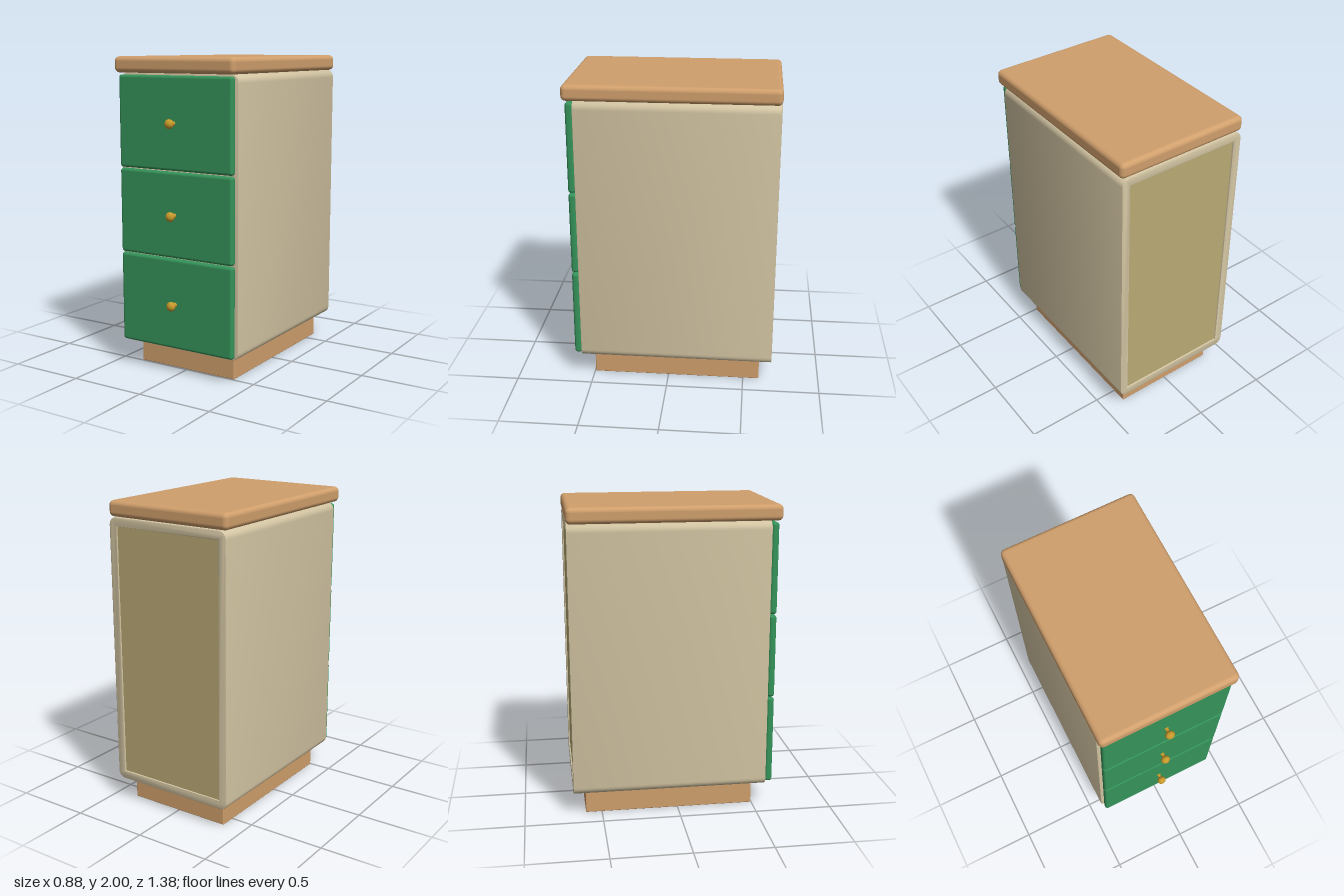
import * as THREE from 'three';
import { toCreasedNormals } from 'three/addons/utils/BufferGeometryUtils.js';
import { RoundedBoxGeometry } from 'three/addons/geometries/RoundedBoxGeometry.js';

const material = (name, color) => {
  const m = new THREE.MeshStandardMaterial({ color });
  m.name = name;
  return m;
};

export function createModel() {
  const wood = material('wood', 0xd09f6c);
  const cream = material('cream', 0xd2c4a2);
  const green = material('green', 0x35945a);
  const board = material('back board', 0xb9aa74);
  const brass = material('brass', 0xc89a2c);

  const group = new THREE.Group();
  group.name = 'drawerCabinet';

  const add = (name, geometry, mat, x, y, z, parent = group) => {
    const mesh = new THREE.Mesh(geometry, mat);
    mesh.name = name;
    mesh.position.set(x, y, z);
    parent.add(mesh);
    return mesh;
  };

  // Rounded box given by its limits in y and z, centred on x
  const slab = (name, mat, halfX, y0, y1, z0, z1, radius, parent) =>
    add(name, new RoundedBoxGeometry(halfX * 2, y1 - y0, z1 - z0, 4, radius), mat,
      0, (y0 + y1) / 2, (z0 + z1) / 2, parent);

  slab('plinth', wood, 0.355, 0.005, 0.17, -0.605, 0.495, 0.006);
  slab('worktop', wood, 0.44, 1.9, 2, -0.688, 0.642, 0.03);

  // Hollow carcass: rounded outline with a square opening, run front to back
  const w = 0.434, h = 0.87, r = 0.05, wall = 0.056, bevel = 0.006;
  const outline = new THREE.Shape();
  outline.moveTo(-w + r, -h);
  outline.absarc(w - r, -h + r, r, -Math.PI / 2, 0);
  outline.absarc(w - r, h - r, r, 0, Math.PI / 2);
  outline.absarc(-w + r, h - r, r, Math.PI / 2, Math.PI);
  outline.absarc(-w + r, -h + r, r, Math.PI, Math.PI * 1.5);
  const a = w - wall, b = h - wall;
  outline.holes.push(new THREE.Path([
    new THREE.Vector2(-a, -b), new THREE.Vector2(-a, b),
    new THREE.Vector2(a, b), new THREE.Vector2(a, -b),
  ]));
  const depth = 1.26;
  const shell = new THREE.ExtrudeGeometry(outline, {
    depth: depth - 2 * bevel, bevelEnabled: true, bevelSize: bevel,
    bevelThickness: bevel, bevelOffset: -bevel, bevelSegments: 2, curveSegments: 8,
  });
  add('carcass', toCreasedNormals(shell, 0.7), cream, 0, 1.03, -0.685 + bevel);

  // Board closing the back, set slightly into the opening
  add('backBoard', new THREE.BoxGeometry(a * 2, b * 2, 0.02), board, 0, 1.03, -0.665);

  // Knob profile: stem, then a flattened ball
  const profile = [[0.016, 0], [0.011, 0.008], [0.011, 0.022]];
  for (let i = 2; i <= 12; i++) {
    const t = (i / 12) * Math.PI;
    profile.push([0.03 * Math.sin(t), 0.047 - 0.025 * Math.cos(t)]);
  }
  const knob = new THREE.LatheGeometry(
    profile.map(([x, y]) => new THREE.Vector2(Math.max(x, 0), y)), 24);
  knob.rotateX(Math.PI / 2);

  // Three drawers, each with its knob
  const drawers = [
    ['bottomDrawer', 0.178, 0.756, 0.467],
    ['middleDrawer', 0.763, 1.302, 1.033],
    ['topDrawer', 1.309, 1.888, 1.6],
  ];
  for (const [name, y0, y1, knobY] of drawers) {
    const drawer = new THREE.Group();
    drawer.name = name;
    group.add(drawer);
    slab('drawerFront', green, 0.417, y0, y1, 0.575, 0.622, 0.018, drawer);
    add('knob', knob, brass, 0, knobY, 0.62, drawer);
  }

  return group;
}
